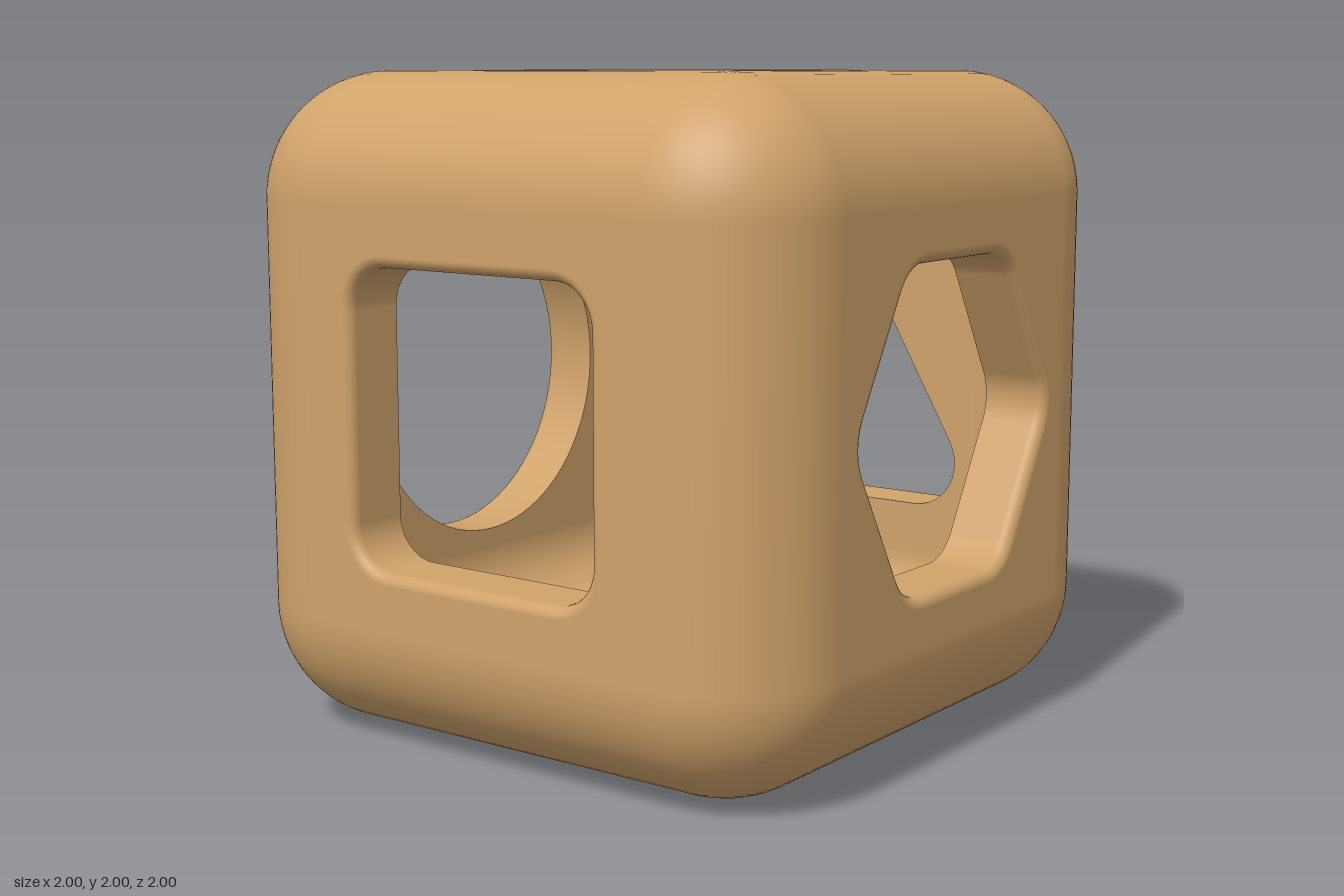
import * as THREE from 'three';
import { RoundedBoxGeometry } from 'three/addons/geometries/RoundedBoxGeometry.js';

const wood = new THREE.MeshStandardMaterial({ color: 0xcfa26a });
wood.name = 'tan wood';

const OUT = 1, OUT_R = 0.38;      // outer half size and edge rounding
const IN = 0.8, IN_R = 0.2;       // cavity half size and edge rounding
const FILLET = 0.035;             // softened rim of each hole

// Outline points carry the 2D direction that leads out of the hole.
function addArc(points, cx, cy, r, from, to, steps, sign = 1) {
  for (let i = 0; i <= steps; i++) {
    const a = from + (to - from) * i / steps, c = Math.cos(a), s = Math.sin(a);
    const p = { x: cx + r * c, y: cy + r * s, nx: sign * c, ny: sign * s };
    const last = points[points.length - 1], first = points[0];
    const same = q => q && Math.hypot(q.x - p.x, q.y - p.y) < 1e-5;
    if (!same(last) && !same(first)) points.push(p);
  }
}

// Regular polygon with rounded corners
function polygonHole(sides, apothem, r, start, cy = 0, steps = 12) {
  const points = [], d = (apothem - r) / Math.cos(Math.PI / sides);
  for (let i = 0; i < sides; i++) {
    const a = start + i * 2 * Math.PI / sides;
    addArc(points, d * Math.cos(a), cy + d * Math.sin(a), r, a - Math.PI / sides, a + Math.PI / sides, steps);
  }
  return points;
}

// Four round lobes joined by small concave arcs
function cloverHole() {
  const points = [], c = 0.28, r = 0.285, notch = 0.581, q = Math.hypot(c, notch - c) - r;
  const tilt = Math.atan2(c, notch - c);
  for (let i = 0; i < 4; i++) {
    const turn = i * Math.PI / 2, a = turn + Math.PI / 4, b = turn + Math.PI / 2;
    addArc(points, c * Math.SQRT2 * Math.cos(a), c * Math.SQRT2 * Math.sin(a), r,
      turn - tilt, b + tilt, 28);
    addArc(points, notch * Math.cos(b), notch * Math.sin(b), q,
      b + Math.PI + tilt, b + Math.PI - tilt, 10, -1);
  }
  return points;
}

// Square plate with a hole
function plate(half, outline, offset) {
  const shape = new THREE.Shape([[-1, -1], [1, -1], [1, 1], [-1, 1]]
    .map(([x, y]) => new THREE.Vector2(x * half, y * half)));
  shape.holes.push(new THREE.Path(outline.map(p =>
    new THREE.Vector2(p.x + p.nx * offset, p.y + p.ny * offset))));
  return new THREE.ShapeGeometry(shape);
}

// Filleted rim and straight wall of a hole
function holeWall(outline) {
  const pos = [], nor = [], index = [], n = outline.length, steps = 6;
  const rings = [];
  for (let i = 0; i <= steps; i++) {
    const t = i / steps * Math.PI / 2;
    rings.push([FILLET * (1 - Math.sin(t)), OUT - FILLET * (1 - Math.cos(t)), Math.sin(t), Math.cos(t)]);
  }
  rings.push([0, IN, 1, 0]);
  rings.forEach(([offset, z, side, front], k) => {
    outline.forEach((p, j) => {
      pos.push(p.x + p.nx * offset, p.y + p.ny * offset, z);
      nor.push(-p.nx * side, -p.ny * side, front);
      if (k === rings.length - 1) return;
      const a = k * n + j, b = k * n + (j + 1) % n;
      index.push(a, b, a + n, b, b + n, a + n);
    });
  });
  const g = new THREE.BufferGeometry();
  g.setAttribute('position', new THREE.Float32BufferAttribute(pos, 3));
  g.setAttribute('normal', new THREE.Float32BufferAttribute(nor, 3));
  g.setIndex(index);
  return g;
}

// Rounded box whose flat faces are left open, except the bottom
function roundedFrame(half, radius, inward) {
  const box = new RoundedBoxGeometry(half * 2, half * 2, half * 2, 8, radius);
  const src = box.index ? box.toNonIndexed() : box;
  const P = src.attributes.position, N = src.attributes.normal, pos = [], nor = [];
  const flat = i => Math.max(Math.abs(N.getX(i)), Math.abs(N.getY(i)), Math.abs(N.getZ(i))) > 0.9999;
  for (let i = 0; i < P.count; i += 3) {
    const isFace = flat(i) && flat(i + 1) && flat(i + 2);
    if (isFace && N.getY(i) > -0.9) continue;
    const s = inward ? -1 : 1;
    for (const j of inward ? [i, i + 2, i + 1] : [i, i + 1, i + 2]) {
      pos.push(P.getX(j), P.getY(j), P.getZ(j));
      nor.push(s * N.getX(j), s * N.getY(j), s * N.getZ(j));
    }
  }
  const g = new THREE.BufferGeometry();
  g.setAttribute('position', new THREE.Float32BufferAttribute(pos, 3));
  g.setAttribute('normal', new THREE.Float32BufferAttribute(nor, 3));
  return g;
}

export function createModel() {
  const model = new THREE.Group();
  model.name = 'shapeSorterCube';
  const add = (parent, name, geometry) => {
    const mesh = new THREE.Mesh(geometry, wood);
    mesh.name = name;
    parent.add(mesh);
    return mesh;
  };

  // Rounded edges, corners and floor, outside and inside
  add(model, 'outerShell', roundedFrame(OUT, OUT_R, false)).position.y = 1;
  add(model, 'innerCavity', roundedFrame(IN, IN_R, true)).position.y = 1;

  // Five sides, each with its own hole
  const H = Math.PI / 2;
  const sides = [
    ['hexagonSide', polygonHole(6, 0.472, 0.15, 0), 0, 0],
    ['triangleSide', polygonHole(3, 0.373, 0.15, H, -0.067), 0, H],
    ['circleSide', polygonHole(4, 0.54, 0.54, 0, 0, 20), 0, Math.PI],
    ['squareSide', polygonHole(4, 0.443, 0.13, H / 2, 0.003), 0, -H],
    ['cloverTop', cloverHole(), -H, 0],
  ];
  for (const [name, outline, rx, ry] of sides) {
    const side = new THREE.Group();
    side.name = name;
    side.position.y = 1;
    side.rotation.set(rx, ry, 0);
    add(side, 'outerFace', plate(OUT - OUT_R, outline, FILLET)).position.z = OUT;
    const inner = add(side, 'innerFace', plate(IN - IN_R, outline, 0));
    inner.position.z = IN;
    inner.rotation.y = Math.PI;   // every outline is mirror symmetric
    add(side, 'holeWall', holeWall(outline));
    model.add(side);
  }
  return model;
}
